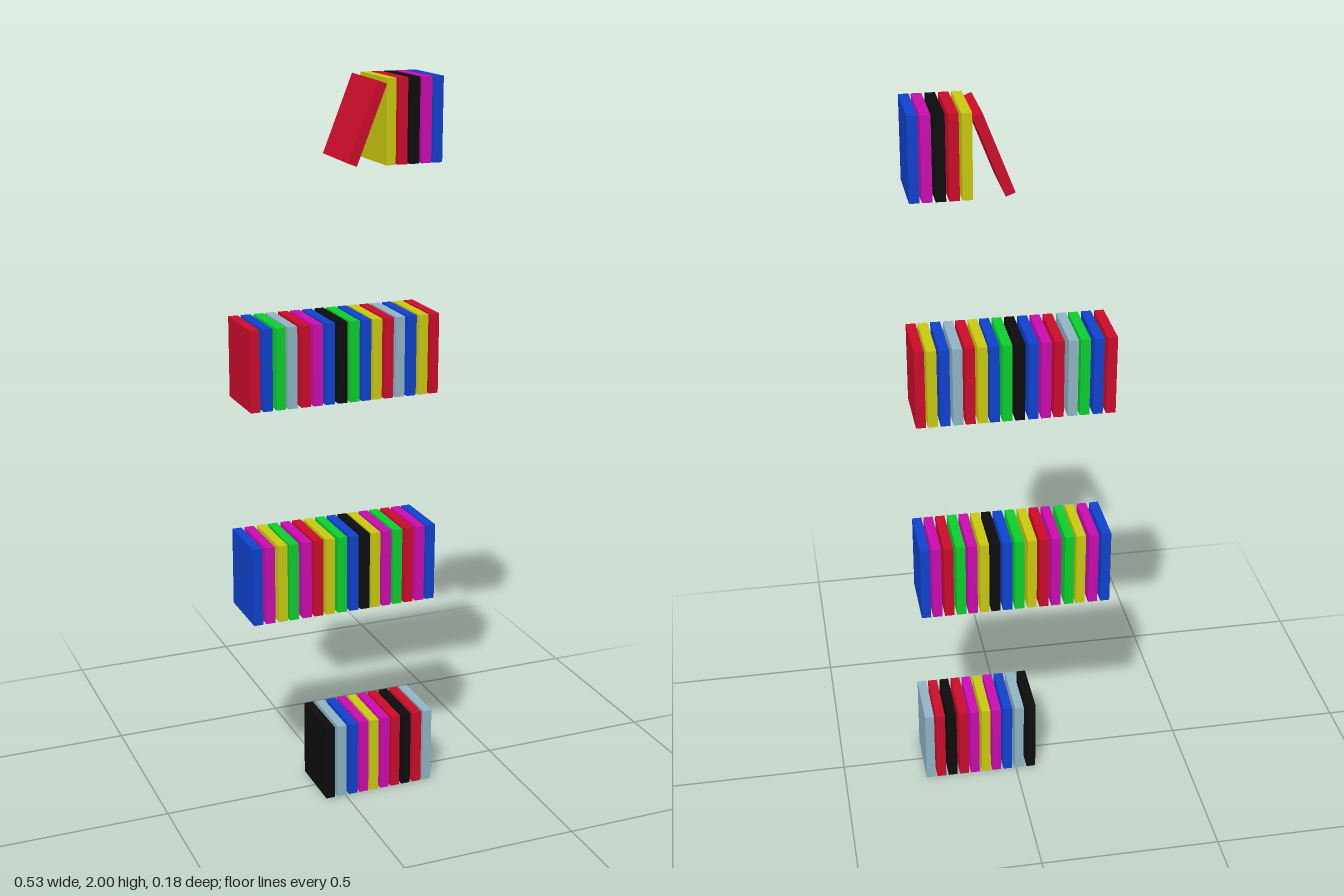
import * as THREE from 'three';

const W = 0.026, H = 0.219, D = 0.174;

const PALETTE = {
  R: ['red', 0xcc0c2a], B: ['blue', 0x0f42cf], G: ['green', 0x0ccf2e], L: ['paleBlue', 0x8fb5c6],
  M: ['magenta', 0xcc0cb0], Y: ['yellow', 0xcaca0f], K: ['black', 0x0d0d0d],
};

// Slot centres along a shelf, slightly uneven
const SLOTS = [-0.253, -0.218, -0.182, -0.15, -0.113, -0.079, -0.045, -0.01,
  0.024, 0.057, 0.088, 0.121, 0.1535, 0.187, 0.2205, 0.252];

// Each row fills the slots up to the right-hand end
const ROWS = [
  { name: 'bottomRow', y: 0, books: 'KLBMYMRKRL' },
  { name: 'lowerMiddleRow', y: 0.566, books: 'BMYGMRYGBKYMGRMB' },
  { name: 'upperMiddleRow', y: 1.163, books: 'RBGLRMBKGBYRLBYR' },
  { name: 'topRow', y: 1.781, books: 'YRKMB' },
];

export function createModel() {
  const model = new THREE.Group();
  model.name = 'bookRows';
  const geometry = new THREE.BoxGeometry(W, H, D);
  const materials = {};
  for (const key in PALETTE) materials[key] = new THREE.MeshStandardMaterial({ color: PALETTE[key][1] });

  const addBook = (parent, key, x, y) => {
    const book = new THREE.Mesh(geometry, materials[key]);
    book.name = PALETTE[key][0] + 'Book';
    book.position.set(x, y, -0.001);
    parent.add(book);
    return book;
  };

  for (const { name, y, books } of ROWS) {
    const row = new THREE.Group();
    row.name = name;
    row.position.y = y;
    const first = SLOTS.length - books.length;
    [...books].forEach((key, i) => addBook(row, key, SLOTS[first + i], H / 2));
    model.add(row);
  }

  // Book leaning against the top row, slightly rolled towards the front
  const leaning = addBook(model.getObjectByName('topRow'), 'R', 0.0555, 0.109);
  leaning.name = 'leaningBook';
  leaning.rotation.set(0.02, 0, -0.373);

  return model;
}
